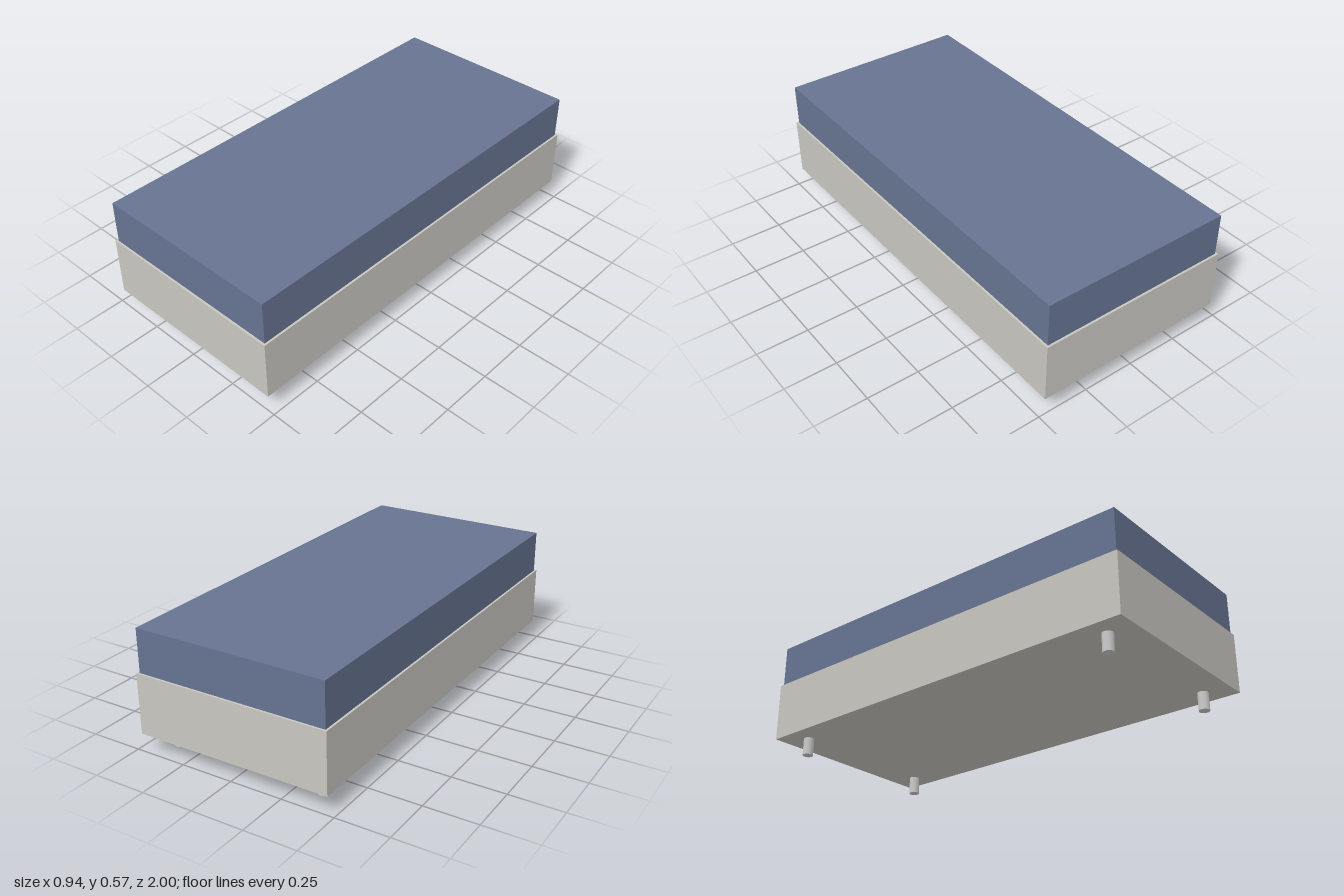
import * as THREE from 'three';

const LEG_H = 0.085, BASE_TOP = 0.37, TOP = 0.575;

function addBox(group, name, width, depth, y0, y1, color) {
  const mesh = new THREE.Mesh(
    new THREE.BoxGeometry(width, y1 - y0, depth),
    new THREE.MeshStandardMaterial({ color })
  );
  mesh.name = name;
  mesh.position.y = (y0 + y1) / 2;
  group.add(mesh);
}

export function createModel() {
  const bed = new THREE.Group();
  bed.name = 'bed';

  // Box base and the slightly inset mattress
  addBox(bed, 'base', 0.94, 2, LEG_H, BASE_TOP, 0xc8c6c0);
  addBox(bed, 'mattress', 0.92, 1.98, BASE_TOP, TOP, 0x667391);

  // Four round legs near the corners
  const legGeometry = new THREE.CylinderGeometry(0.025, 0.025, LEG_H, 32);
  const legMaterial = new THREE.MeshStandardMaterial({ color: 0xcccccc });
  for (const [sx, side] of [[1, 'Left'], [-1, 'Right']]) {
    for (const [sz, end] of [[1, 'front'], [-1, 'back']]) {
      const leg = new THREE.Mesh(legGeometry, legMaterial);
      leg.name = `${end}${side}Leg`;
      leg.position.set(sx * 0.37, LEG_H / 2, sz * 0.873);
      bed.add(leg);
    }
  }
  return bed;
}
